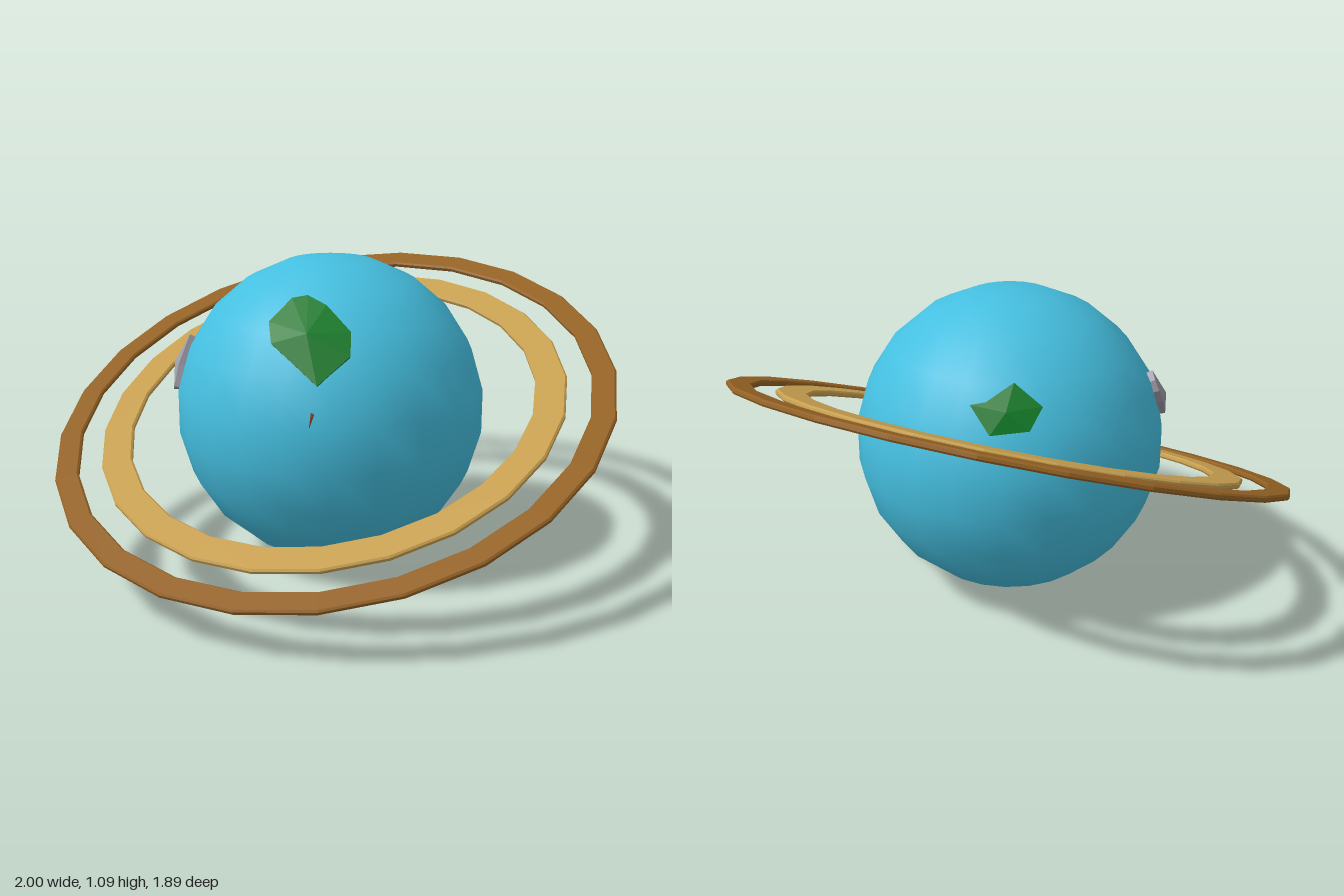
import * as THREE from 'three';

const CENTRE = 0.548;
const RADIUS = 0.545;

function material(name, color, extra = {}) {
  const m = new THREE.MeshStandardMaterial({ color, ...extra });
  m.name = name;
  return m;
}

// Flat band with a slightly bevelled rectangular section.
function ring(name, inner, outer, mat) {
  const h = 0.011, b = 0.006;
  const profile = [
    [outer, -h + b], [outer, h - b], [outer - b, h], [inner + b, h],
    [inner, h - b], [inner, -h + b], [inner + b, -h], [outer - b, -h], [outer, -h + b],
  ].map(([x, y]) => new THREE.Vector2(x, y));
  const mesh = new THREE.Mesh(new THREE.LatheGeometry(profile, 24), mat);
  mesh.name = name;
  return mesh;
}

// Raised patch on the globe: a counter-clockwise outline seen along an axis
// (azimuth, elevation), lifted to a low dome with a skirt reaching inside.
function patch(name, azimuth, elevation, outline, middle, rim, crown, mat) {
  const turn = new THREE.Euler(
    -THREE.MathUtils.degToRad(elevation), THREE.MathUtils.degToRad(azimuth), 0, 'YXZ');
  const place = ([u, v], r) =>
    new THREE.Vector3(u, v, Math.sqrt(r * r - u * u - v * v)).applyEuler(turn);
  const top = place(middle, crown);
  const edge = outline.map((p) => place(p, rim));
  const base = edge.map((p) => p.clone().setLength(0.51));
  const points = [];
  edge.forEach((p, i) => {
    const j = (i + 1) % edge.length;
    points.push(top, p, edge[j]);
    points.push(p, base[i], base[j], p, base[j], edge[j]);
  });
  const geometry = new THREE.BufferGeometry().setFromPoints(points);
  geometry.computeVertexNormals();
  const mesh = new THREE.Mesh(geometry, mat);
  mesh.name = name;
  return mesh;
}

export function createModel() {
  const ocean = material('ocean blue', 0x45bfe0);
  const land = material('land green', 0x0f7a26);
  const rock = material('rock grey', 0x9a98a4);
  const rust = material('rust red', 0x8a3a1a);
  const sand = material('sand ring', 0xc8a050, { flatShading: true });
  const brown = material('brown ring', 0x946224, { flatShading: true });

  const model = new THREE.Group();
  model.name = 'ringedPlanet';
  const planet = new THREE.Group();
  planet.name = 'planet';
  planet.position.y = CENTRE;
  model.add(planet);

  // Globe
  const globe = new THREE.Mesh(new THREE.SphereGeometry(RADIUS, 22, 11), ocean);
  globe.name = 'globe';
  globe.rotation.y = Math.PI / 2;
  planet.add(globe);

  // Land and rock patches
  planet.add(
    patch('frontContinent', 35, 25, [
      [0, 0.293], [-0.05, 0.28], [-0.11, 0.19], [-0.087, 0.114],
      [0.082, -0.016], [0.174, 0.092], [0.163, 0.174], [0.07, 0.26],
    ], [0.03, 0.15], 0.557, 0.572, land),
    patch('backContinent', 215, 25, [
      [0.01, 0.08], [0.087, -0.01], [0.207, 0.02],
      [0.234, 0.103], [0.135, 0.168], [0.06, 0.095],
    ], [0.13, 0.07], 0.551, 0.56, land),
    patch('rockRidge', 0, 0, [
      [-0.33, 0.26], [-0.362, 0.237], [-0.378, 0.2], [-0.372, 0.15],
      [-0.325, 0.075], [-0.305, 0.09], [-0.325, 0.16],
    ], [-0.348, 0.168], 0.56, 0.575, rock),
    patch('rustSliver', 0, 0, [
      [0.358, 0.135], [0.361, 0.085], [0.366, 0.13],
    ], [0.362, 0.117], 0.549, 0.55, rust),
  );

  // Tilted rings
  const rings = new THREE.Group();
  rings.name = 'rings';
  rings.quaternion.setFromUnitVectors(
    new THREE.Vector3(0, 1, 0), new THREE.Vector3(0.157, 1, 0.385).normalize());
  rings.add(
    ring('innerRing', 0.73, 0.84, sand),
    ring('outerRing', 0.925, 1.01, brown),
  );
  planet.add(rings);
  return model;
}
